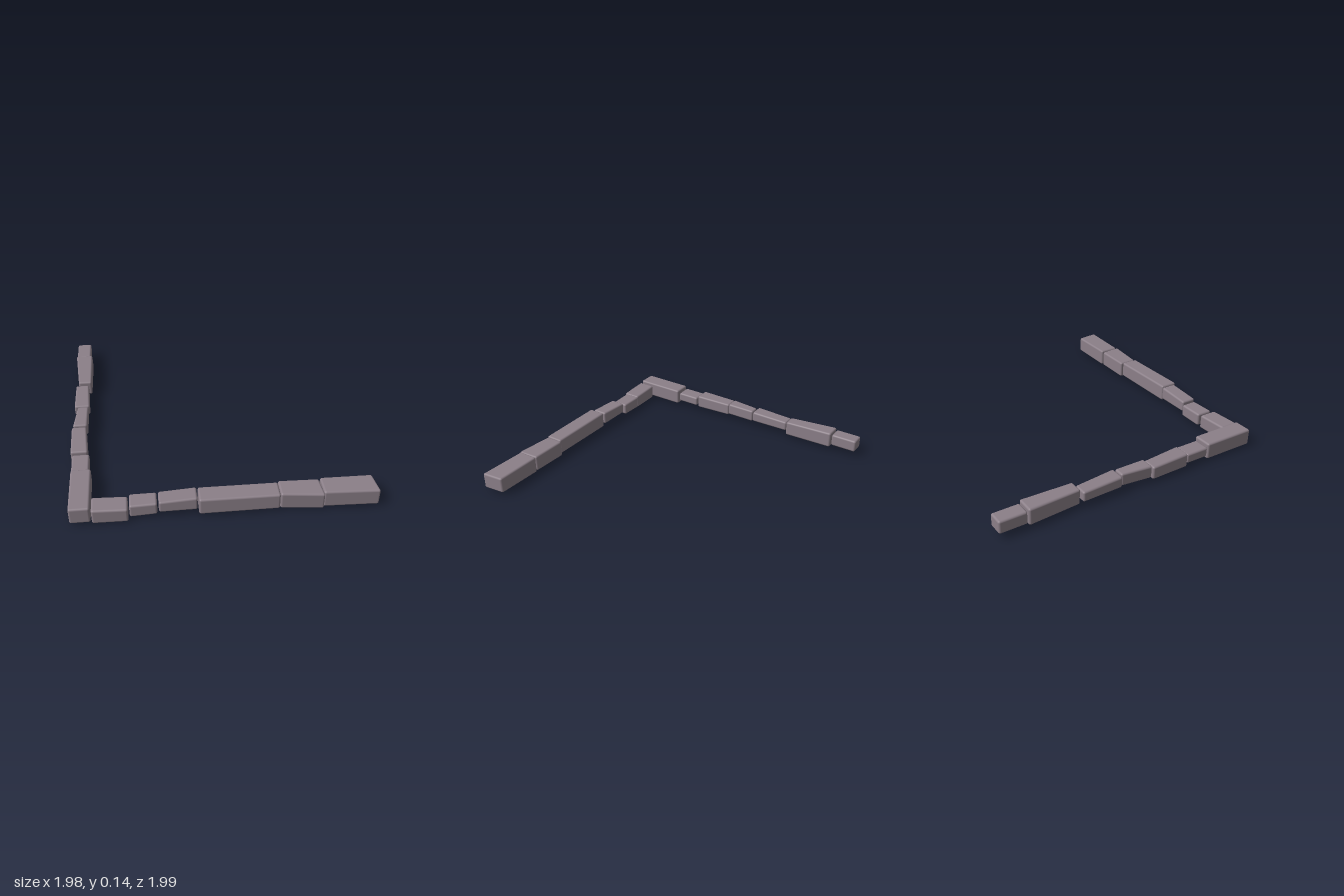
import * as THREE from 'three';
import { RoundedBoxGeometry } from 'three/addons/geometries/RoundedBoxGeometry.js';

const stone = new THREE.MeshStandardMaterial({ color: 0x8b7f88 });
stone.name = 'mauve stone';

const lerp = THREE.MathUtils.lerp;

// Each end of a block is [side min, side max, bottom, top]; skew slides the
// far end along the run on its outer side.
function block(axis, from, to, a, b = a, skew = 0) {
  const size = {
    [axis]: to - from,
    [axis === 'x' ? 'z' : 'x']: (a[1] - a[0] + b[1] - b[0]) / 2,
    y: (a[3] - a[2] + b[3] - b[2]) / 2,
  };
  const geometry = new RoundedBoxGeometry(size.x, size.y, size.z, 3, 0.014);
  const p = geometry.attributes.position;
  for (let i = 0; i < p.count; i++) {
    const u = { x: p.getX(i) / size.x + 0.5, y: p.getY(i) / size.y + 0.5, z: p.getZ(i) / size.z + 0.5 };
    const t = u[axis];
    const s = axis === 'x' ? u.z : u.x;
    const side = lerp(lerp(a[0], b[0], t), lerp(a[1], b[1], t), s);
    const y = lerp(lerp(a[2], b[2], t), lerp(a[3], b[3], t), u.y);
    const along = lerp(from, to, t) + skew * t * (s - 0.5);
    if (axis === 'x') p.setXYZ(i, along, y, side);
    else p.setXYZ(i, side, y, along);
  }
  geometry.computeBoundingSphere();
  return new THREE.Mesh(geometry, stone);
}

function row(name, axis, blocks) {
  const group = new THREE.Group();
  group.name = name;
  blocks.forEach((args, i) => {
    const mesh = block(axis, ...args);
    mesh.name = `${name}Stone${i + 1}`;
    group.add(mesh);
  });
  return group;
}

export function createModel() {
  const model = new THREE.Group();
  model.name = 'stoneBorderCorner';

  // Side row, back to front, ending in the corner stone
  model.add(row('sideRow', 'z', [
    [-1.0, -0.808, [-0.985, -0.88, 0.04, 0.13]],
    [-0.802, -0.428, [-0.99, -0.865, 0.025, 0.143], [-0.96, -0.865, 0.02, 0.13]],
    [-0.418, -0.125, [-0.98, -0.885, 0.04, 0.112], [-0.98, -0.87, 0.045, 0.125]],
    [-0.118, 0.107, [-0.955, -0.88, 0.035, 0.125], [-0.982, -0.88, 0.035, 0.125]],
    [0.11, 0.4, [-0.99, -0.888, 0.022, 0.115], [-0.985, -0.868, 0.022, 0.122]],
    [0.405, 0.58, [-0.975, -0.858, 0.035, 0.105]],
    [0.585, 0.965, [-0.975, -0.842, 0.01, 0.127]],
  ]));

  // Front row, from the corner outwards
  model.add(row('frontRow', 'x', [
    [-0.835, -0.608, [0.842, 0.972, 0.004, 0.11], [0.842, 0.972, 0, 0.1]],
    [-0.6, -0.425, [0.828, 0.948, 0.013, 0.105], [0.828, 0.942, 0.018, 0.105]],
    [-0.416, -0.172, [0.84, 0.952, 0.04, 0.12], [0.84, 0.952, 0.04, 0.137]],
    [-0.165, 0.35, [0.847, 0.975, 0.02, 0.14], [0.847, 0.975, 0.02, 0.135]],
    [0.352, 0.624, [0.833, 0.965, 0.012, 0.133], [0.838, 0.995, 0.012, 0.13], 0.012],
    [0.626, 0.978, [0.833, 0.978, 0.012, 0.135], [0.835, 0.995, 0.015, 0.132], 0.018],
  ]));

  return model;
}
